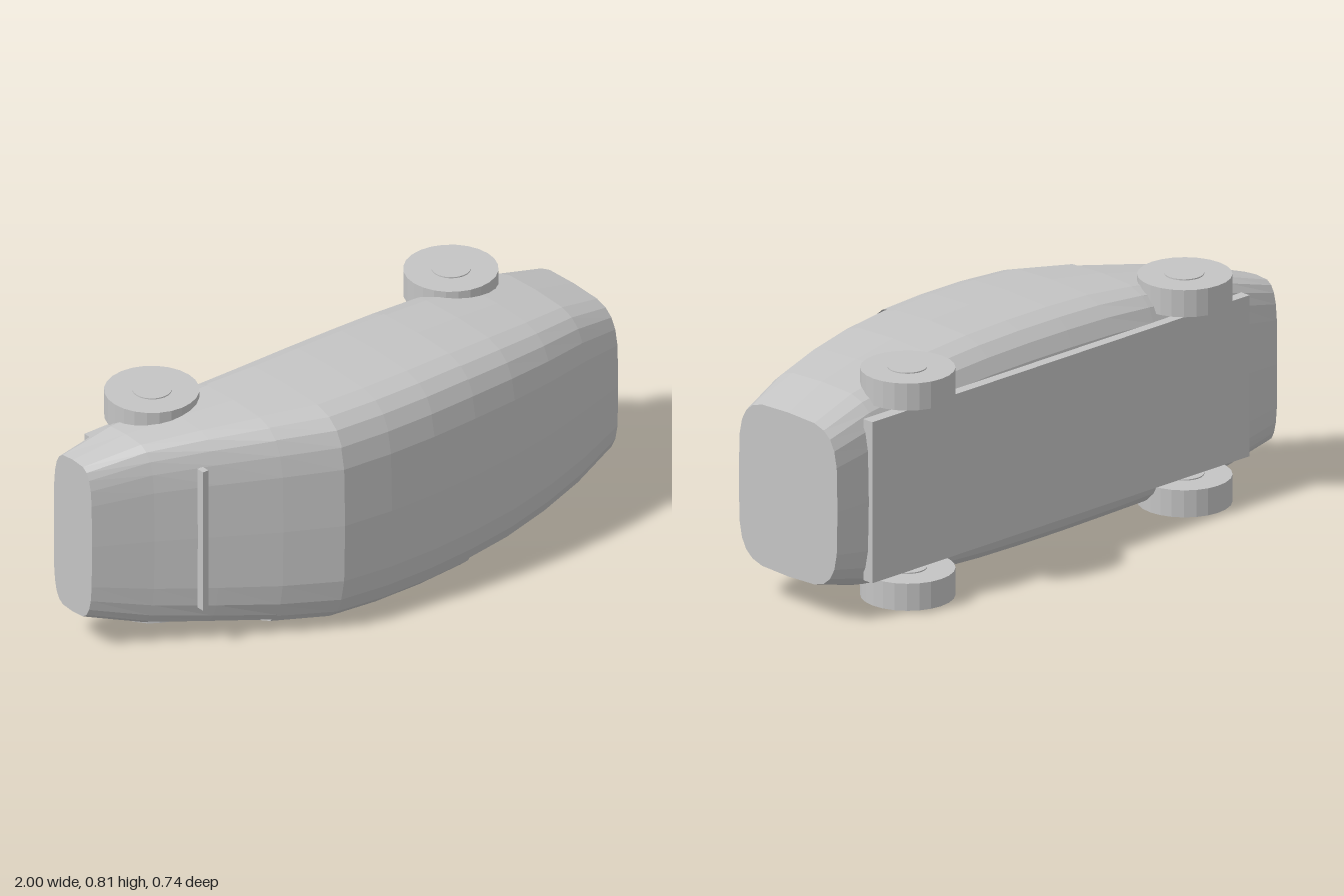
import * as THREE from 'three';

// Car lying on its side: length along x, roof towards +z, width along y
const CY = 0.404;
const BOTTOM = -0.267;
const SIDES = 24;
const halfWidth = [0.285, 0.338, 0.364, 0.384, 0.395, 0.399];
const roofZ = [-0.07, 0.03, 0.14, 0.25, 0.345, 0.364, 0.366, 0.355, 0.335, 0.3, 0.25, 0.195];
const LAST = roofZ.length - 1;

const soft = (v) => Math.sign(v) * Math.pow(Math.abs(v), 0.47);

// Point j of the rounded cross-section at station i
function hullPoint(i, j, scale = 1) {
  const a = (j / SIDES) * Math.PI * 2;
  const hy = halfWidth[Math.min(i, LAST - i)] * scale;
  const zc = (roofZ[i] + BOTTOM) / 2;
  const hz = ((roofZ[i] - BOTTOM) / 2) * scale;
  return [-1 + (2 * i) / LAST, CY + hy * soft(Math.cos(a)), zc + hz * soft(Math.sin(a))];
}

// Patch of the hull between two stations and two section points
function hullPatch(i0, i1, j0, j1, scale, capped) {
  const pos = [];
  const tri = (...pts) => pts.forEach((p) => pos.push(...p));
  for (let i = i0; i < i1; i++) {
    for (let j = j0; j < j1; j++) {
      const a = hullPoint(i, j, scale), b = hullPoint(i + 1, j, scale);
      const c = hullPoint(i + 1, j + 1, scale), d = hullPoint(i, j + 1, scale);
      tri(a, d, c);
      tri(a, c, b);
    }
  }
  if (capped) {
    for (let j = 1; j < SIDES - 1; j++) {
      tri(hullPoint(i1, 0), hullPoint(i1, j), hullPoint(i1, j + 1));
      tri(hullPoint(i0, 0), hullPoint(i0, j + 1), hullPoint(i0, j));
    }
  }
  const geo = new THREE.BufferGeometry();
  geo.setAttribute('position', new THREE.Float32BufferAttribute(pos, 3));
  geo.computeVertexNormals();
  return geo;
}

export function createModel() {
  const group = new THREE.Group();
  const grey = new THREE.MeshStandardMaterial({ color: 0xc4c4c4, flatShading: true, side: THREE.DoubleSide });
  grey.name = 'grey';

  const add = (name, geo, x = 0, y = 0, z = 0) => {
    const mesh = new THREE.Mesh(geo, grey);
    mesh.name = name;
    mesh.position.set(x, y, z);
    group.add(mesh);
    return mesh;
  };

  // Hull with flat ends
  add('body', hullPatch(0, LAST, 0, SIDES, 1, true));

  // Side window shells, slightly proud of the hull
  add('upperSideWindow', hullPatch(3, 7, -1, 4, 1.012, false));
  add('lowerSideWindow', hullPatch(3, 7, 8, 13, 1.012, false));

  // Chassis plate and the trim bar on the sloping nose
  add('chassis', new THREE.BoxGeometry(1.715, 0.56, 0.043), 0, CY, -0.2625);
  add('trimBar', new THREE.BoxGeometry(0.022, 0.52, 0.03), -0.685, CY, 0.116);

  // Wheels with hubs
  const tyre = new THREE.CylinderGeometry(0.156, 0.156, 0.094, SIDES);
  const hub = new THREE.CylinderGeometry(0.065, 0.065, 0.102, SIDES);
  for (const x of [-0.63, 0.63]) {
    for (const side of [-1, 1]) {
      const y = CY + side * 0.348;
      add('wheel', tyre, x, y, -0.215);
      add('hub', hub, x, y, -0.213);
    }
  }
  return group;
}
